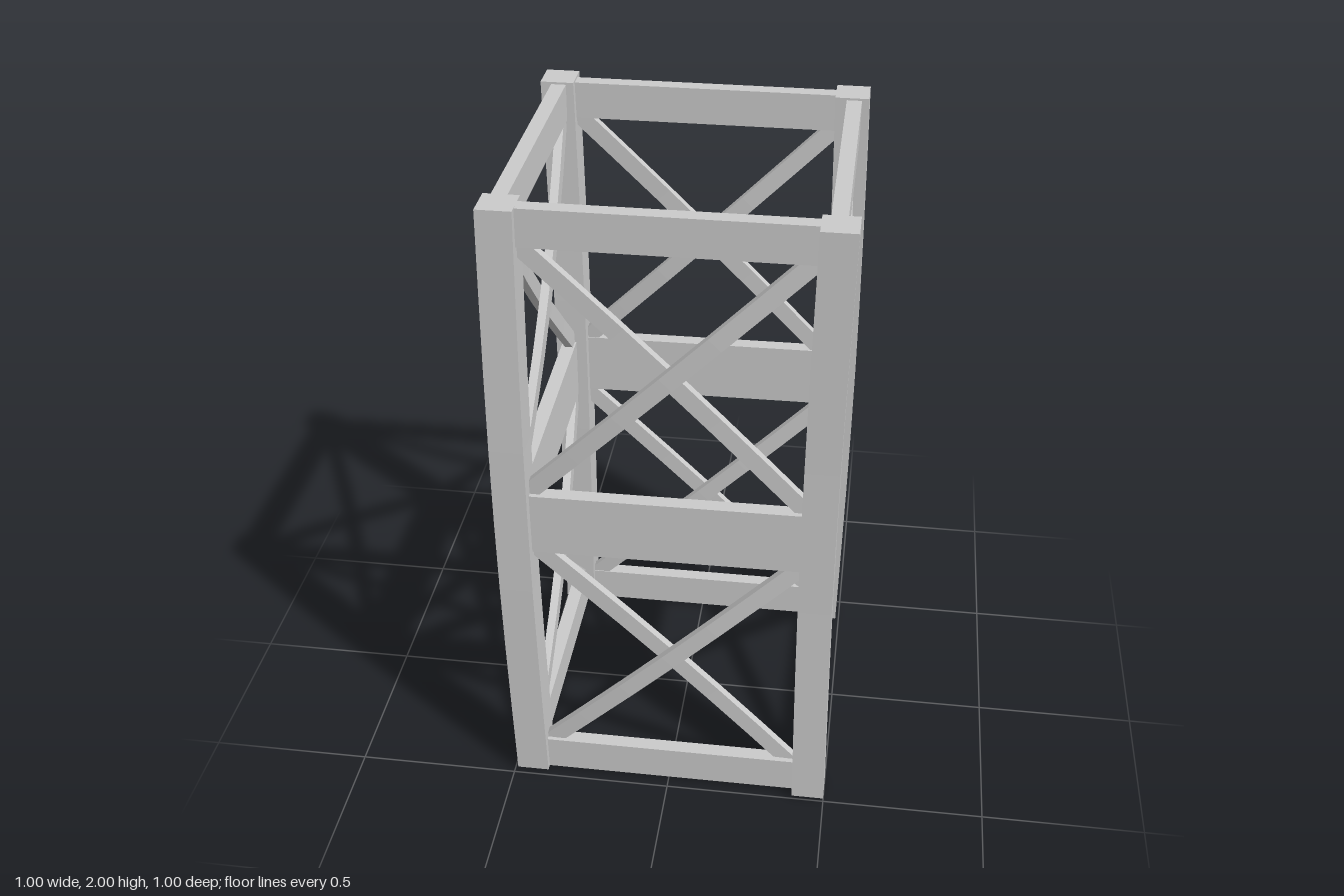
import * as THREE from 'three';

const material = new THREE.MeshStandardMaterial({ color: 0xcccccc, flatShading: true });

// Moves every vertex of a geometry by a rule
function bend(geometry, rule) {
  const p = geometry.attributes.position;
  const v = new THREE.Vector3();
  for (let i = 0; i < p.count; i++) {
    v.fromBufferAttribute(p, i);
    rule(v);
    p.setXYZ(i, v.x, v.y, v.z);
  }
  geometry.computeVertexNormals();
  return geometry;
}

function part(name, geometry) {
  const mesh = new THREE.Mesh(geometry, material);
  mesh.name = name;
  return mesh;
}

// Corner post, slightly warped: one diagonal pair bows inward, the other outward
function cornerPost(sx, sz) {
  const inward = sx * sz > 0;
  const height = 1.985;
  const geometry = new THREE.BoxGeometry(0.1, height, 0.1, 1, 8, 1);
  bend(geometry, v => {
    const bow = 0.011 * Math.cos((v.y / height) * Math.PI);
    const centre = inward ? 0.45 - bow : 0.439 + bow;
    v.x += sx * centre;
    v.z += sz * centre;
    v.y += 0.015 + height / 2;
  });
  return part('cornerPost', geometry);
}

// Horizontal rail whose ends sit at slightly different heights
function rail(name, height, yLeft, yRight) {
  const length = 0.92;
  const geometry = new THREE.BoxGeometry(length, height, 0.045);
  bend(geometry, v => {
    v.y += THREE.MathUtils.lerp(yLeft, yRight, v.x / length + 0.5);
    v.z += 0.445;
  });
  return part(name, geometry);
}

// Diagonal brace, bowed inward or outward so that the pair can cross
function brace(direction, y) {
  const length = 1.14;
  const geometry = new THREE.BoxGeometry(length, 0.052, 0.026, 6, 1, 1);
  bend(geometry, v => {
    const bow = Math.cos((v.x / length) * Math.PI);
    v.z += 0.44 + direction * 0.016 * bow;
  });
  geometry.rotateZ(direction * Math.PI / 4);
  geometry.translate(0, y, 0);
  return part('diagonalBrace', geometry);
}

export function createModel() {
  const tower = new THREE.Group();
  tower.name = 'braceTower';

  for (const sx of [-1, 1]) for (const sz of [-1, 1]) tower.add(cornerPost(sx, sz));

  // Rail heights at the corners: front left, front right, back right, back left as seen in front
  const rails = [
    ['bottomRail', 0.115, [0.071, 0.071, 0.061, 0.06]],
    ['middleRail', 0.2, [0.987, 0.992, 1.011, 1.005]],
    ['topRail', 0.112, [1.943, 1.943, 1.937, 1.937]],
  ];

  // Four sides, turned around the vertical axis
  for (let k = 0; k < 4; k++) {
    const side = new THREE.Group();
    side.name = ['frontSide', 'leftSide', 'backSide', 'rightSide'][k];
    for (const [name, height, y] of rails) side.add(rail(name, height, y[k], y[(k + 1) % 4]));
    for (const y of [0.5, 1.495]) side.add(brace(1, y), brace(-1, y));
    side.rotation.y = k * Math.PI / 2;
    tower.add(side);
  }
  return tower;
}
